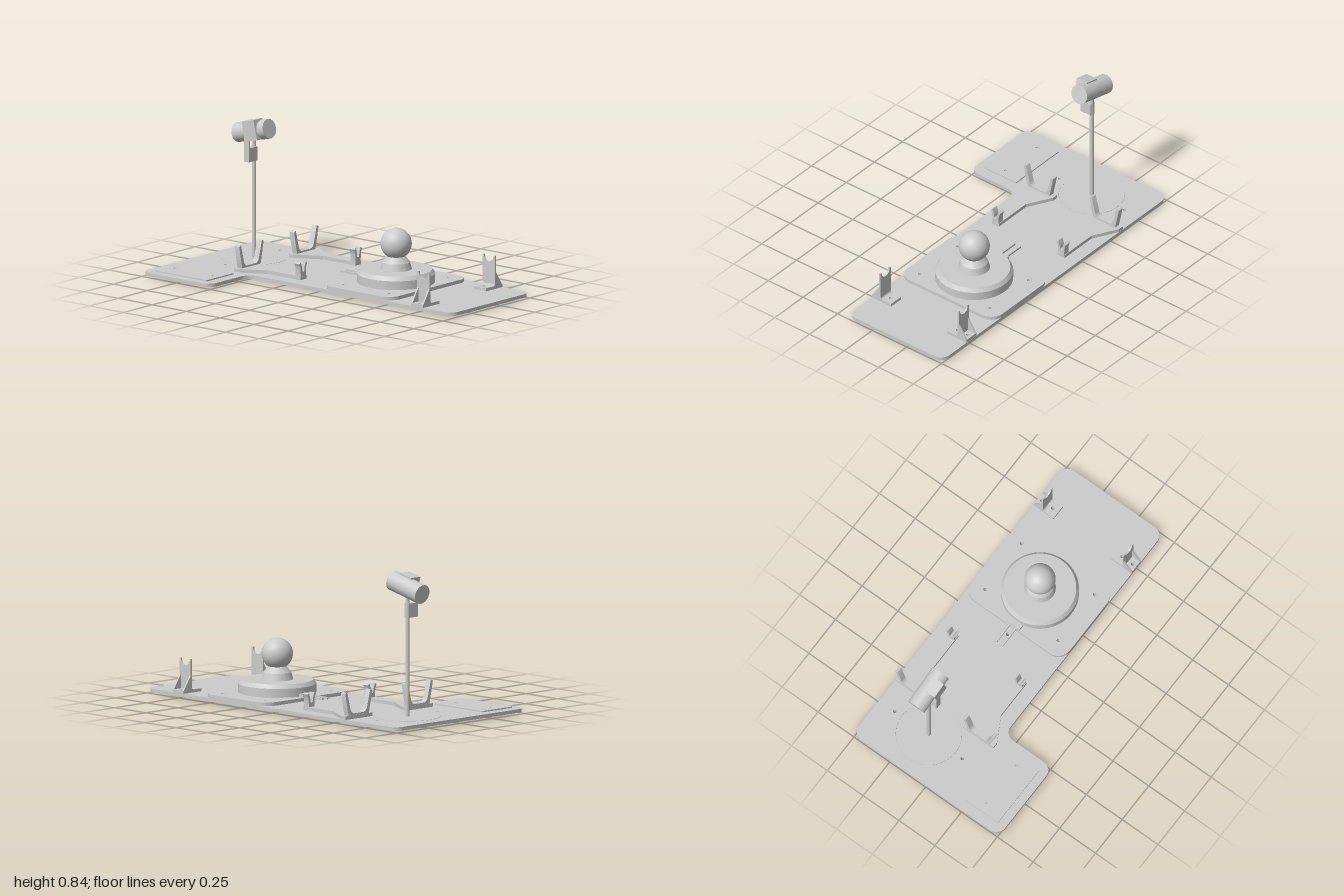
import * as THREE from 'three';
import { toCreasedNormals } from 'three/addons/utils/BufferGeometryUtils.js';

const CX = 0.167; // centre line of the long deck
const material = new THREE.MeshStandardMaterial({ color: 0xcccccc });

function add(parent, name, geometry, x = 0, y = 0, z = 0) {
  const mesh = new THREE.Mesh(geometry, material);
  mesh.name = name;
  mesh.position.set(x, y, z);
  parent.add(mesh);
  return mesh;
}

function named(parent, name, x = 0, y = 0, z = 0) {
  const group = new THREE.Group();
  group.name = name;
  group.position.set(x, y, z);
  parent.add(group);
  return group;
}

// Polygon with rounded corners: each point is [x, y, radius]
function outline(points) {
  const shape = new THREE.Shape();
  const v = points.map(p => new THREE.Vector2(p[0], p[1]));
  const n = v.length;
  v.forEach((p, i) => {
    const r = points[i][2] || 0;
    const a = v[(i + n - 1) % n].clone().sub(p).setLength(r).add(p);
    const b = v[(i + 1) % n].clone().sub(p).setLength(r).add(p);
    if (i === 0) shape.moveTo(a.x, a.y); else shape.lineTo(a.x, a.y);
    if (r) {
      const k = 0.448; // near-circular corner
      shape.bezierCurveTo(a.x + (p.x - a.x) * (1 - k), a.y + (p.y - a.y) * (1 - k),
        b.x + (p.x - b.x) * (1 - k), b.y + (p.y - b.y) * (1 - k), b.x, b.y);
    }
  });
  shape.closePath();
  return shape;
}

const rect = (x0, z0, x1, z1, r = 0) => outline([[x0, z0, r], [x1, z0, r], [x1, z1, r], [x0, z1, r]]);

function drill(shape, holes, radius = 0.01) {
  for (const [x, y] of holes) shape.holes.push(new THREE.Path().absarc(x, y, radius, 0, Math.PI * 2, true));
  return shape;
}

function extrude(shape, depth) {
  return toCreasedNormals(
    new THREE.ExtrudeGeometry(shape, { depth, bevelEnabled: false, curveSegments: 24 }), 0.5);
}

// Horizontal sheet drawn in x and z, from y0 to y1
const sheet = (shape, y0, y1) => extrude(shape, y1 - y0).rotateX(Math.PI / 2).translate(0, y1, 0);
// Upright sheet drawn in x and y, centred in z
const upright = (shape, depth) => extrude(shape, depth).translate(0, 0, -depth / 2);

function lathe(points) {
  return toCreasedNormals(new THREE.LatheGeometry(points.map(p => new THREE.Vector2(...p)), 64), 0.3);
}

// L-shaped bracket: base, notched upright, two gussets
function cradleBracket(parent, x, turn) {
  const g = named(parent, 'cradleBracket', x, 0, 0.745);
  g.rotation.y = turn;
  add(g, 'bracketBase', sheet(drill(rect(-0.055, -0.045, 0.085, 0.045), [[-0.03, 0], [0.045, 0]]), 0.03, 0.047));
  const plate = new THREE.Shape();
  plate.moveTo(-0.045, 0.045);
  plate.lineTo(0.045, 0.045);
  plate.lineTo(0.045, 0.22);
  plate.lineTo(0.034, 0.22);
  plate.absarc(0, 0.215, 0.034, 0, Math.PI, true);
  plate.lineTo(-0.034, 0.22);
  plate.lineTo(-0.045, 0.22);
  add(g, 'bracketUpright', extrude(plate, 0.01).rotateY(Math.PI / 2));
  for (const z of [-0.04, 0.04]) {
    add(g, 'bracketGusset', upright(outline([[-0.055, 0.045], [0.002, 0.045], [0.002, 0.13]]), 0.01), 0, 0, z);
  }
  add(g, 'bracketFillet', upright(outline([[0.009, 0.046], [0.022, 0.046], [0.013, 0.05], [0.009, 0.06]]), 0.09));
}

// Tapered foot with a V fork behind and a small clip in front
function forkHolder(parent, x) {
  const g = named(parent, 'forkHolder', x);
  add(g, 'holderFoot', sheet(outline([[-0.105, -0.6], [0.105, -0.6], [0.105, -0.565], [0.025, -0.42],
    [0.025, -0.18], [-0.025, -0.18], [-0.025, -0.42], [-0.105, -0.565]]), 0.03, 0.05));
  add(g, 'fork', upright(outline([[-0.078, 0.045], [0.078, 0.045], [0.106, 0.178, 0.003], [0.09, 0.184, 0.003],
    [0.062, 0.075, 0.01], [0.045, 0.06, 0.008], [-0.045, 0.06, 0.008], [-0.062, 0.075, 0.01],
    [-0.09, 0.184, 0.003], [-0.106, 0.178, 0.003]]), 0.035), 0, 0, -0.58);
  add(g, 'clip', upright(outline([[-0.021, 0.045], [0.021, 0.045], [0.024, 0.1, 0.012], [0.034, 0.122],
    [0.021, 0.13], [0.01, 0.1, 0.015], [0.008, 0.075, 0.006], [-0.008, 0.075, 0.006], [-0.01, 0.1, 0.015],
    [-0.021, 0.13], [-0.034, 0.122], [-0.024, 0.1, 0.012]]), 0.038), 0, 0, -0.2);
}

export function createModel() {
  const model = new THREE.Group();
  model.name = 'deviceStand';
  const platformHoles = [[CX - 0.255, 0.13], [CX + 0.255, 0.13], [CX - 0.255, 0.47], [CX + 0.255, 0.47]];

  // L-shaped deck
  const deck = outline([[-0.51, -1, 0.06], [0.51, -1, 0.06], [0.51, 1, 0.06], [-0.175, 1, 0.06],
    [-0.175, -0.495, 0.06], [-0.51, -0.495, 0.06]]);
  drill(deck, [...platformHoles, [-0.07, -0.75], [0.4, -0.75], [CX, -0.005],
    [-0.15, 0.745], [-0.075, 0.745], [0.484, 0.745], [0.409, 0.745]]);
  drill(deck, [[CX, 0.3]], 0.2);
  drill(deck, [[CX, -0.745]], 0.186);
  add(model, 'deck', sheet(deck, 0.01, 0.03));

  // Side pad with a slotted frame underneath
  add(model, 'sidePad', sheet(drill(rect(-0.46, -0.94, -0.23, -0.56), [[-0.345, -0.89], [-0.345, -0.61]]), 0.03, 0.037));
  const frame = rect(-0.41, -0.86, -0.28, -0.62);
  frame.holes.push(rect(-0.36, -0.84, -0.33, -0.64));
  add(model, 'underFrame', sheet(frame, 0, 0.01));

  // Round platform, turntable and ball
  const platform = drill(rect(-0.175, 0.04, 0.51, 0.55, 0.08), platformHoles);
  drill(platform, [[CX, 0.3]], 0.17);
  add(model, 'platform', sheet(platform, 0.03, 0.05));
  add(model, 'turntable', lathe([[0, 0.048], [0.219, 0.048], [0.219, 0.1], [0.203, 0.123], [0, 0.123]]), CX, 0, 0.3);
  add(model, 'ballNeck', lathe([[0.09, 0.12], [0.078, 0.163], [0.048, 0.2], [0, 0.2]]), CX, 0, 0.3);
  add(model, 'ball', new THREE.SphereGeometry(0.088, 48, 32), CX, 0.268, 0.3);

  // Plug with two prongs behind the turntable
  add(model, 'plugBlock', new THREE.BoxGeometry(0.09, 0.025, 0.035), CX, 0.055, 0.063);
  for (const x of [-0.021, 0.021]) {
    add(model, 'prong', new THREE.BoxGeometry(0.011, 0.011, 0.14), CX + x, 0.054, -0.015);
  }

  // Paired supports
  cradleBracket(model, -0.12, 0);
  cradleBracket(model, 2 * CX + 0.12, Math.PI);
  forkHolder(model, -0.07);
  forkHolder(model, 2 * CX + 0.07);

  // Post on an inset disc
  add(model, 'postDisc', new THREE.CylinderGeometry(0.185, 0.185, 0.015, 64), CX, 0.0235, -0.745);
  add(model, 'post', new THREE.CylinderGeometry(0.012, 0.012, 0.69, 24), CX, 0.375, -0.745);

  // Tilted barrel head with its clamp
  const head = named(model, 'head', CX, 0.76, -0.748);
  head.rotation.x = -0.228;
  add(head, 'barrel', new THREE.CylinderGeometry(0.056, 0.056, 0.236, 48).rotateX(Math.PI / 2));
  add(head, 'barrelClamp', new THREE.BoxGeometry(0.075, 0.115, 0.09), -0.029, 0.006, 0.026);
  add(model, 'clampTab', new THREE.BoxGeometry(0.074, 0.08, 0.034), 0.137, 0.63, -0.744);
  add(model, 'clampStrip', new THREE.BoxGeometry(0.01, 0.09, 0.034), 0.105, 0.7, -0.744);
  return model;
}
